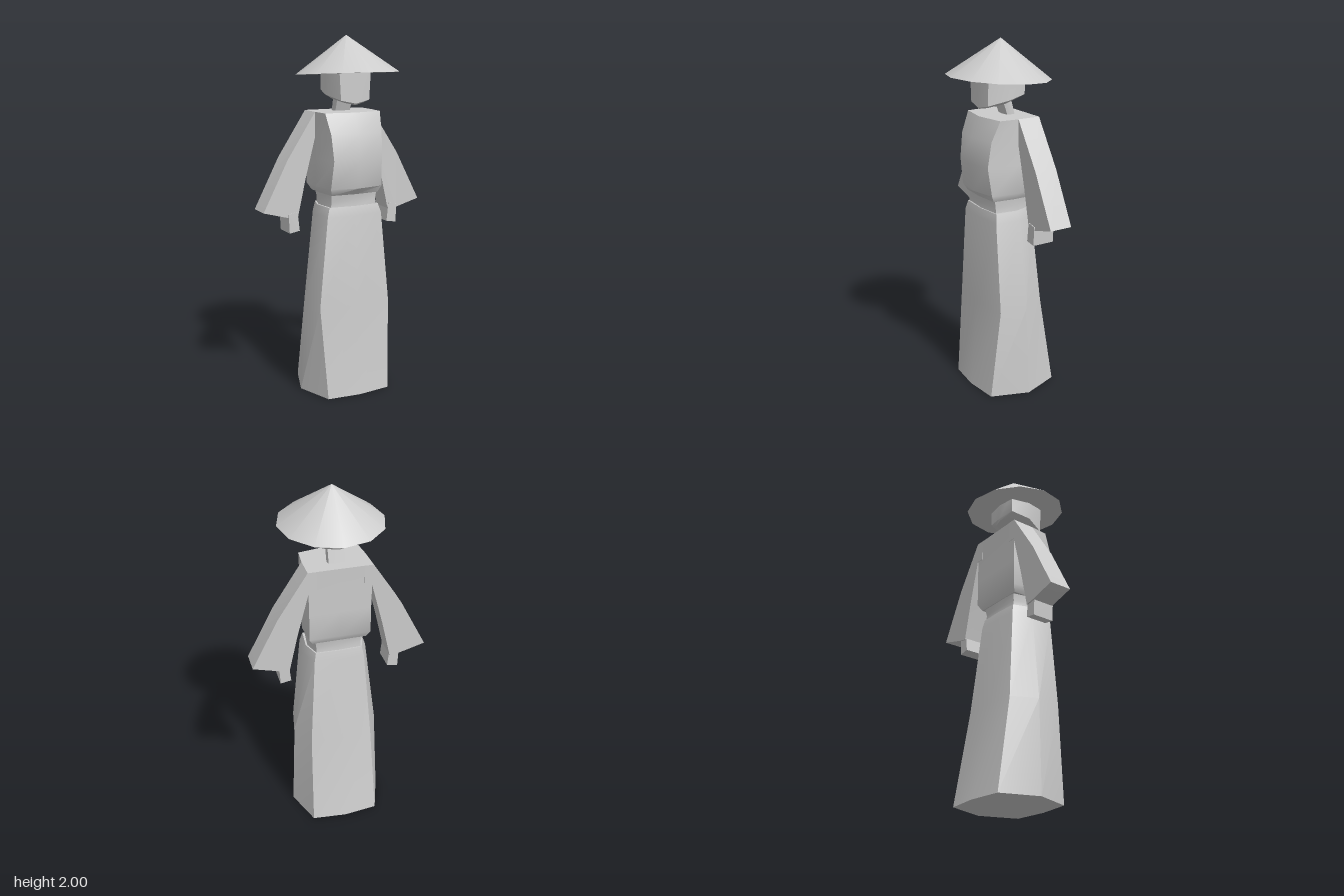
import * as THREE from 'three';
import { toCreasedNormals, mergeVertices } from 'three/addons/utils/BufferGeometryUtils.js';

const CREASE = 0.6;
const clay = new THREE.MeshStandardMaterial({ color: 0xcccccc });
clay.name = 'plain grey';

// Lofts mirrored half rings. Each section is [y, ...points]; a point is [x, z, optional y offset],
// running from the front centre round the +x side to the back centre.
function loft(sections) {
  const pos = [], idx = [];
  let n = 0;
  for (const [y, ...half] of sections) {
    const ring = [...half, ...half.slice(1, -1).reverse().map(([x, z, d]) => [-x, z, d])];
    n = ring.length;
    for (const [x, z, d = 0] of ring) pos.push(x, y + d, z);
  }
  const last = sections.length - 1;
  for (let s = 0; s < last; s++) {
    for (let i = 0; i < n; i++) {
      const a = s * n + i, b = s * n + (i + 1) % n;
      idx.push(a, b, b + n, a, b + n, a + n);
    }
  }
  for (let i = 1; i < n - 1; i++) {
    idx.push(0, i + 1, i);
    idx.push(last * n, last * n + i, last * n + i + 1);
  }
  const g = new THREE.BufferGeometry();
  g.setAttribute('position', new THREE.Float32BufferAttribute(pos, 3));
  g.setIndex(idx);
  return toCreasedNormals(g, CREASE);
}

// Flat slab cut from an outline, from z0 back to z1
function slab(points, side, z0, z1) {
  const shape = new THREE.Shape(points.map(([x, y]) => new THREE.Vector2(x * side, y)));
  const g = new THREE.ExtrudeGeometry(shape, { depth: z0 - z1, bevelEnabled: false });
  g.translate(0, 0, z1);
  return toCreasedNormals(g, CREASE);
}

export function createModel() {
  const model = new THREE.Group();
  model.name = 'robedFigure';
  const add = (name, geometry) => {
    const mesh = new THREE.Mesh(geometry, clay);
    mesh.name = name;
    model.add(mesh);
    return mesh;
  };

  // Long flared skirt with a narrow top edge
  add('skirt', loft([
    [0, [0, 0.18], [0.19, 0.16], [0.265, -0.05], [0.19, -0.263], [0, -0.283]],
    [0.52, [0, 0.135], [0.215, 0.112], [0.243, -0.04], [0.175, -0.18], [0, -0.19]],
    [1.03, [0, 0.125], [0.165, 0.11], [0.18, -0.03], [0.14, -0.135], [0, -0.14]],
    [1.08, [0, 0.115], [0.15, 0.1], [0.163, -0.03], [0.13, -0.125], [0, -0.13]],
  ]));

  // Waist band between skirt and jacket
  add('waist', loft([
    [1.07, [0, 0.11], [0.14, 0.095], [0.155, -0.03], [0.125, -0.12], [0, -0.125]],
    [1.11, [0, 0.105], [0.135, 0.095], [0.15, -0.03], [0.125, -0.115], [0, -0.12]],
    [1.17, [0, 0.12], [0.14, 0.105], [0.158, -0.03], [0.135, -0.13], [0, -0.13]],
  ]));

  // Jacket body, full at the chest and flat at the back
  add('jacket', loft([
    [1.148, [0, 0.12], [0.14, 0.11], [0.155, -0.02], [0.15, -0.13], [0, -0.13]],
    [1.185, [0, 0.157], [0.155, 0.13], [0.178, -0.02], [0.17, -0.15], [0, -0.15]],
    [1.34, [0, 0.18], [0.145, 0.15], [0.178, -0.02], [0.17, -0.15], [0, -0.15]],
    [1.48, [0, 0.158], [0.153, 0.132], [0.177, -0.02], [0.172, -0.15], [0, -0.15]],
    [1.592, [0, 0.115], [0.166, 0.085], [0.175, -0.02], [0.175, -0.152], [0, -0.152]],
  ]));

  // Wide sleeves with small hands
  for (const [side, label] of [[1, 'left'], [-1, 'right']]) {
    add(label + 'Sleeve', slab([
      [0.13, 1.592], [0.175, 1.592], [0.34, 1.34], [0.485, 1.06],
      [0.34, 1.02], [0.285, 1.01], [0.235, 1.23], [0.172, 1.47], [0.13, 1.47],
    ], side, -0.022, -0.153));
    add(label + 'Hand', slab([
      [0.287, 1.05], [0.275, 0.943], [0.335, 0.933], [0.34, 1.04],
    ], side, -0.018, -0.145));
  }

  // Neck leaning forward
  add('neck', loft([
    [1.58, [0, -0.033], [0.045, -0.04], [0.05, -0.06], [0.045, -0.085], [0, -0.09]],
    [1.69, [0, 0.005], [0.045, 0], [0.05, -0.025], [0.045, -0.055], [0, -0.06]],
  ]));

  // Faceted head with a low chin, rising towards the back
  add('head', loft([
    [1.65, [0, 0.115, -0.018], [0.06, 0.1, -0.005], [0.08, 0, 0.01], [0.07, -0.1, 0.04], [0, -0.12, 0.035]],
    [1.67, [0, 0.122, -0.03], [0.085, 0.112, -0.012], [0.123, 0, 0.015], [0.1, -0.11, 0.035], [0, -0.126, 0.025]],
    [1.83, [0, 0.122], [0.095, 0.112], [0.118, 0, 0], [0.1, -0.11], [0, -0.126]],
  ]));

  // Broad conical straw hat: smooth cone, flat underside, tipped back a little
  const hat = new THREE.ConeGeometry(0.286, 0.205, 12, 1);
  hat.translate(0, 0.1025, 0);
  hat.deleteAttribute('uv');
  hat.deleteAttribute('normal');
  const hatMesh = add('hat', toCreasedNormals(mergeVertices(hat), CREASE));
  hatMesh.position.set(0.01, 1.795, -0.002);
  hatMesh.rotation.set(-0.062, -0.035, 0);

  return model;
}
